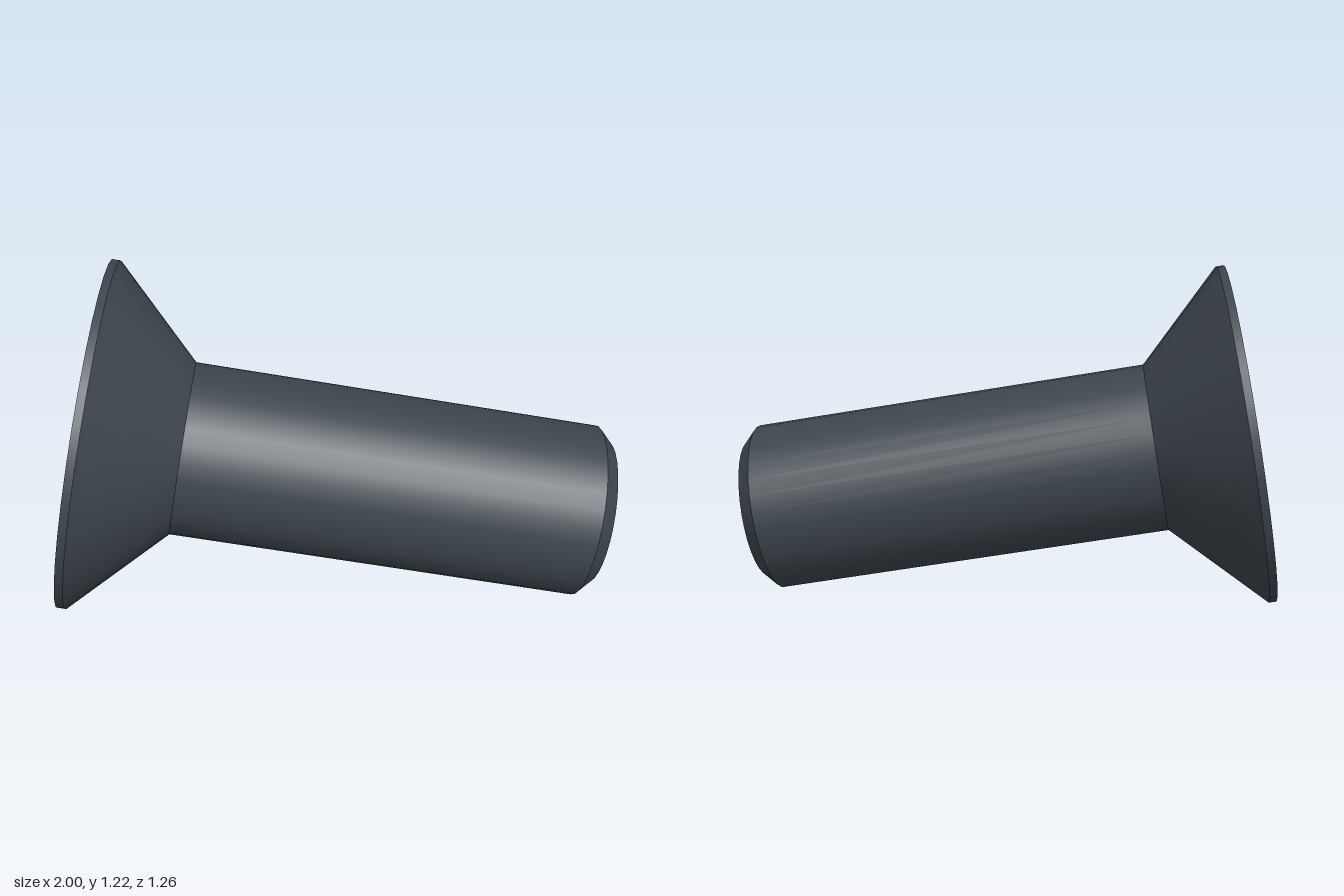
import * as THREE from 'three';

export function createModel() {
  const steel = new THREE.MeshStandardMaterial({ color: 0x3d454d });
  steel.name = 'dark steel';

  const SIDES = 32, SOCKET_SIDES = 48;
  const headR = 0.615, shankR = 0.306, tipR = 0.254;
  const socketR = 0.227, socketDepth = 0.27;
  const rimEnd = 0.028, neck = 0.34, chamferStart = 1.784, length = 1.836;

  // The screw is built along +y with the head face at y = 0
  const screw = new THREE.Group();
  screw.name = 'countersunkScrew';
  const add = (name, geometry) => {
    const mesh = new THREE.Mesh(geometry, steel);
    mesh.name = name;
    screw.add(mesh);
  };

  // Each straight section is its own lathe, so edges between them stay sharp
  const section = (name, r0, y0, r1, y1) => add(name, new THREE.LatheGeometry(
    [new THREE.Vector2(r0, y0), new THREE.Vector2(r1, y1)], SIDES));
  section('headRim', headR, 0, headR, rimEnd);
  section('headCone', headR, rimEnd, shankR, neck);
  section('shank', shankR, neck, shankR, chamferStart);
  section('tipChamfer', shankR, chamferStart, tipR, length);
  section('tipFace', tipR, length, 0, length);

  // Flat head face with a round opening
  const circle = (r, n) => Array.from({ length: n }, (_, i) => {
    const a = (i / n) * Math.PI * 2;
    return new THREE.Vector2(r * Math.sin(a), r * Math.cos(a));
  });
  const face = new THREE.Shape(circle(headR, SIDES));
  face.holes.push(new THREE.Path(circle(socketR, SOCKET_SIDES)));
  add('headFace', new THREE.ShapeGeometry(face).rotateX(Math.PI / 2));

  // Hexagonal socket: lathe rows pressed onto a hexagon whose corners touch the opening
  const hexRadius = (a) => {
    const sector = Math.PI / 3;
    const local = ((a % sector) + sector) % sector - sector / 2;
    return socketR * Math.cos(sector / 2) / Math.cos(local);
  };
  const socket = (name, rows) => {
    const geometry = new THREE.LatheGeometry(
      rows.map(() => new THREE.Vector2(1, 0)), SOCKET_SIDES);
    const pos = geometry.attributes.position;
    for (let i = 0; i < pos.count; i++) {
      const a = Math.floor(i / rows.length) / SOCKET_SIDES * Math.PI * 2;
      const [r, y] = rows[i % rows.length](hexRadius(a + 1e-7));
      pos.setXYZ(i, r * Math.sin(a), y, r * Math.cos(a));
    }
    const flat = geometry.toNonIndexed();
    flat.computeVertexNormals();
    add(name, flat);
  };
  const floorCentre = () => [0, socketDepth];
  const floorEdge = (h) => [h, socketDepth];
  const wallTop = (h) => [h, 1.3 * (socketR - h)];
  const opening = () => [socketR, 0];
  socket('socketFloor', [floorCentre, floorEdge]);
  socket('socketWalls', [floorEdge, wallTop]);
  socket('socketChamfer', [wallTop, opening]);

  // Tilt the screw so that it rests on the rim and the tip
  const axis = new THREE.Vector3(0.9645, -0.17, 0.2015).normalize();
  const up = new THREE.Vector3(0, 1, 0).addScaledVector(axis, -axis.y).normalize();
  const side = new THREE.Vector3().crossVectors(axis, up);
  screw.quaternion.setFromRotationMatrix(new THREE.Matrix4().makeBasis(side, axis, up));
  screw.rotateY(-Math.PI / 180);
  screw.position.set(-0.838, 0.605, -0.026);

  const model = new THREE.Group();
  model.name = 'model';
  model.add(screw);
  return model;
}
